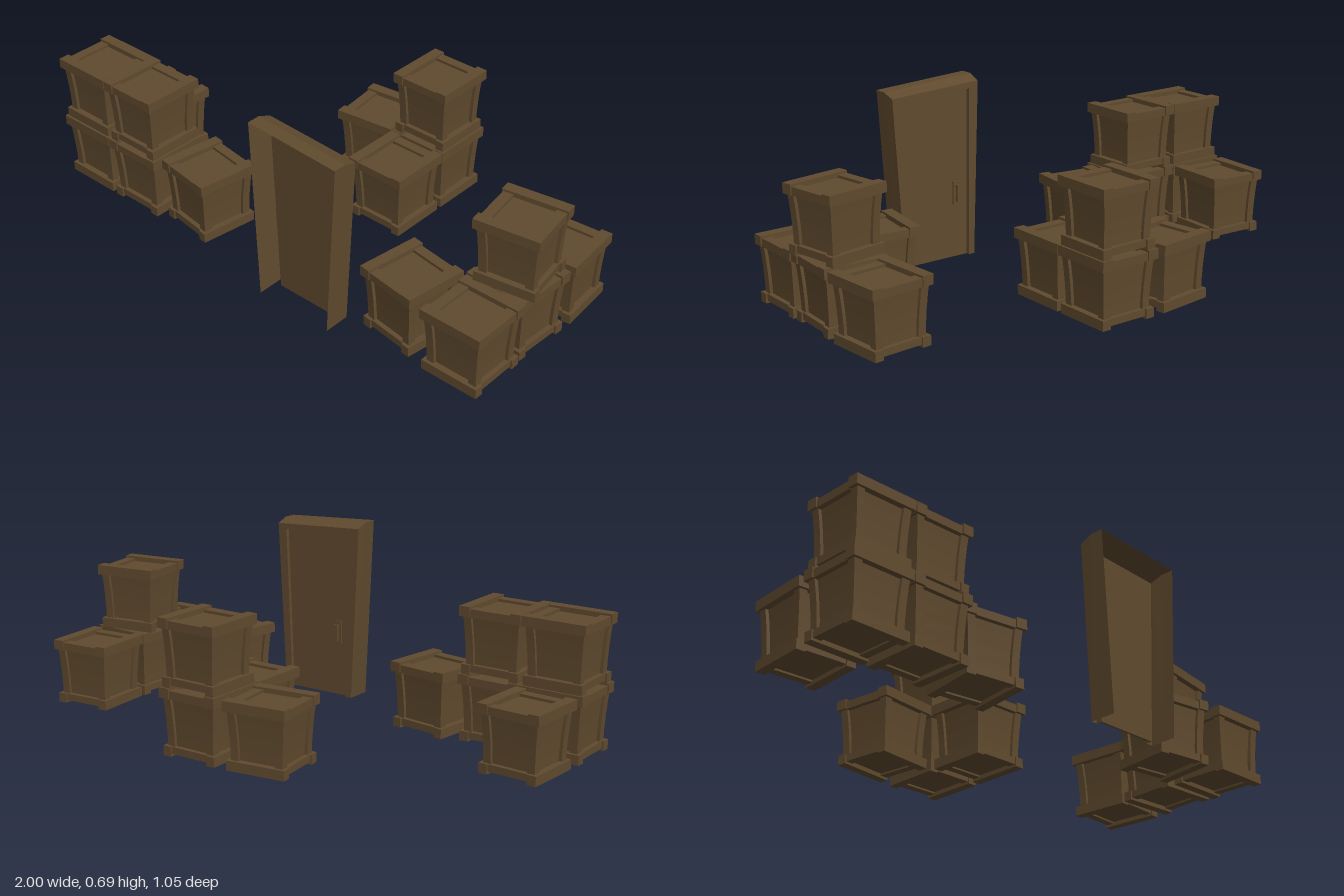
import * as THREE from 'three';

const wood = new THREE.MeshStandardMaterial({ color: 0x604a2e, side: THREE.DoubleSide });
wood.name = 'brown wood';
wood.flatShading = true;

function add(group, name, geometry, x = 0, y = 0, z = 0) {
  const mesh = new THREE.Mesh(geometry, wood);
  mesh.name = name;
  mesh.position.set(x, y, z);
  group.add(mesh);
  return mesh;
}

const box = (w, h, d) => new THREE.BoxGeometry(w, h, d);
const H = 0.247; // crate height

// Outward flare of the crate walls, growing towards the lid
const flare = (y) => 0.014 * Math.pow(Math.max(0, y) / H, 2);

// Box standing on y, with its vertices pushed outwards by the flare
function flaredBox(w, h, d, x, y, z) {
  const g = new THREE.BoxGeometry(w, h, d, 1, 4, 1).translate(x, y + h / 2, z);
  const p = g.attributes.position;
  for (let i = 0; i < p.count; i++) {
    const f = flare(p.getY(i));
    p.setX(i, p.getX(i) + Math.sign(p.getX(i)) * f);
    p.setZ(i, p.getZ(i) + Math.sign(p.getZ(i)) * f);
  }
  g.computeVertexNormals();
  return g;
}

// Crate with long rails along z, recessed panels and curved corner posts
function makeCrate() {
  const crate = new THREE.Group();
  crate.name = 'crate';
  add(crate, 'cratePanels', flaredBox(0.176, H - 0.034, 0.176, 0, 0.016, 0));
  for (const sx of [-1, 1]) {
    for (const sz of [-1, 1]) {
      add(crate, 'cornerPost', flaredBox(0.03, H - 0.05, 0.03, sx * 0.085, 0.025, sz * 0.085));
    }
  }
  for (const s of [-1, 1]) {
    add(crate, 'topLongRail', box(0.042, 0.037, 0.242), s * 0.1, H - 0.0185, 0);
    add(crate, 'topShortRail', box(0.16, 0.03, 0.038), 0, H - 0.023, s * 0.097);
    add(crate, 'bottomLongRail', box(0.034, 0.036, 0.225), s * 0.0955, 0.018, 0);
    add(crate, 'bottomShortRail', box(0.16, 0.026, 0.03), 0, 0.022, s * 0.091);
  }
  return crate;
}

// Closed outline of a four-cornered opening
const outline = (pts) => pts.map(([x, y]) => new THREE.Vector2(x, y));

// Strip of quads joining open paths of 3D points
function loft(paths) {
  const n = paths[0].length;
  const index = [];
  for (let r = 0; r < paths.length - 1; r++) {
    for (let i = 0; i < n - 1; i++) {
      const a = r * n + i;
      index.push(a, a + n, a + 1, a + 1, a + n, a + n + 1);
    }
  }
  const g = new THREE.BufferGeometry();
  g.setAttribute('position', new THREE.Float32BufferAttribute(paths.flat(2), 3));
  g.setIndex(index);
  const flat = g.toNonIndexed();
  flat.computeVertexNormals();
  return flat;
}

function makeDoor() {
  const door = new THREE.Group();
  door.name = 'door';
  const at = (pts, z) => pts.map(([x, y]) => [x, y, z]);
  const wide = [[0.08, 0], [0.05, 0.688], [0.43, 0.667], [0.39, 0]];
  const low = [[0.08, 0], [0.052, 0.668], [0.428, 0.65], [0.39, 0]];
  const inner = [[0.105, 0], [0.092, 0.643], [0.39, 0.63], [0.362, 0]];

  // Outer casing, bevelled along the top
  add(door, 'doorCasing', loft([at(wide, 0.52), at(wide, 0.47), at(low, 0.42)]));
  // Flat surround and the reveal leading in to the leaf
  add(door, 'doorSurround', loft([at(low, 0.42), at(inner, 0.42)]));
  add(door, 'doorReveal', loft([at(inner, 0.42), at(inner, 0.437)]));
  // Door leaf
  const leaf = new THREE.ExtrudeGeometry(new THREE.Shape(outline(inner)), { depth: 0.008, bevelEnabled: false });
  add(door, 'doorLeaf', leaf, 0, 0, 0.435);

  // Handle plate and grip
  add(door, 'handlePlate', box(0.03, 0.09, 0.008), 0.15, 0.25, 0.432);
  add(door, 'handleGrip', box(0.014, 0.065, 0.01), 0.15, 0.25, 0.419);
  for (const s of [-1, 1]) add(door, 'handleStem', box(0.012, 0.01, 0.012), 0.15, 0.25 + s * 0.025, 0.428);
  return door;
}

export function createModel() {
  const model = new THREE.Group();
  model.name = 'cratesAndDoor';

  // x, level, z, turn in degrees
  const crates = [
    [-0.865, 0, 0.076, -3.5],
    [-0.877, 0, 0.34, 90],
    [-0.877, 1, 0.34, 90],
    [-0.632, 0, 0.34, 0],
    [-0.632, 1, 0.34, 0],
    [-0.367, 0, 0.322, -8],
    [-0.148, 0, -0.388, 97],
    [0.112, 0, -0.405, 0],
    [0.112, 1, -0.405, 0],
    [0.112, 0, -0.16, 0],
    [0.857, 0, -0.157, 4.5],
    [0.857, 0, 0.095, 87],
    [0.863, 1, 0.1, 99],
    [0.857, 0, 0.34, 90],
    [0.583, 0, 0.313, -8],
  ];
  for (const [x, level, z, turn] of crates) {
    const crate = makeCrate();
    crate.position.set(x, level * H, z);
    crate.rotation.y = THREE.MathUtils.degToRad(turn);
    model.add(crate);
  }
  model.add(makeDoor());
  return model;
}
